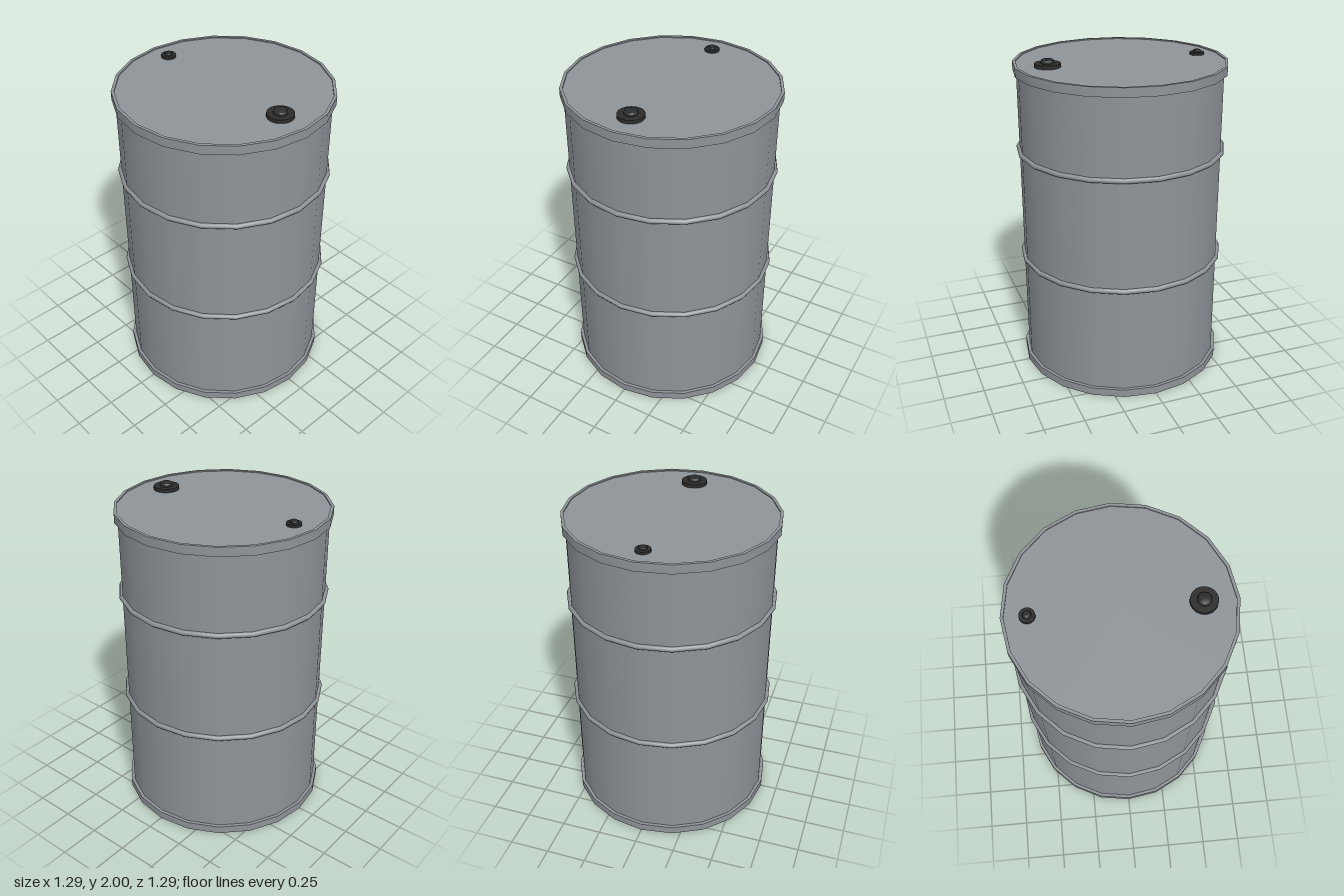
import * as THREE from 'three';
import { toCreasedNormals } from 'three/addons/utils/BufferGeometryUtils.js';

const SIDES = 20;

// Turns a [radius, height] profile (listed bottom to top) with sharp corners
function turned(name, profile, sides, material) {
  const points = profile.map(([r, y]) => new THREE.Vector2(r, y));
  const mesh = new THREE.Mesh(
    toCreasedNormals(new THREE.LatheGeometry(points, sides), 0.5), material);
  mesh.name = name;
  return mesh;
}

export function createModel() {
  const drum = new THREE.Group();
  drum.name = 'drum';
  const steel = new THREE.MeshStandardMaterial({ color: 0x8f9499 });
  const dark = new THREE.MeshStandardMaterial({ color: 0x2c2c2c });

  // Barrel wall
  const wall = new THREE.Mesh(
    new THREE.CylinderGeometry(0.625, 0.625, 1.9, SIDES, 1, true), steel);
  wall.position.y = 0.98;
  wall.name = 'wall';
  drum.add(wall);

  // Bottom rim with its closed base
  drum.add(turned('bottomRim',
    [[0, 0], [0.645, 0], [0.645, 0.05], [0.62, 0.05]], SIDES, steel));

  // Top rim with a slightly sunken lid
  drum.add(turned('topRim',
    [[0.62, 1.905], [0.645, 1.905], [0.645, 1.96], [0.627, 1.96], [0.627, 1.953], [0, 1.953]],
    SIDES, steel));

  // Rolling hoops
  for (const [name, y] of [['lowerHoop', 0.73], ['upperHoop', 1.425]]) {
    const hoop = new THREE.Mesh(new THREE.TorusGeometry(0.629, 0.016, 8, SIDES), steel);
    hoop.rotation.x = Math.PI / 2;
    hoop.position.y = y;
    hoop.name = name;
    drum.add(hoop);
  }

  // Bungs: a flat flange with a rounded plug
  const addBung = (name, z, flange, plug, step, top) => {
    const bung = new THREE.Group();
    bung.name = name;
    bung.add(turned('flange',
      [[0, 1.95], [flange, 1.95], [flange, step], [0, step]], 24, dark));
    const h = top - step;
    bung.add(turned('plug',
      [[plug, step], [plug, step + h * 0.5], [plug * 0.88, step + h * 0.8],
        [plug * 0.6, top], [0, top]], 24, dark));
    bung.position.z = z;
    drum.add(bung);
  };
  addBung('largeBung', 0.45, 0.078, 0.04, 1.975, 2.0);
  addBung('smallBung', -0.5, 0.045, 0.024, 1.968, 1.984);

  return drum;
}
